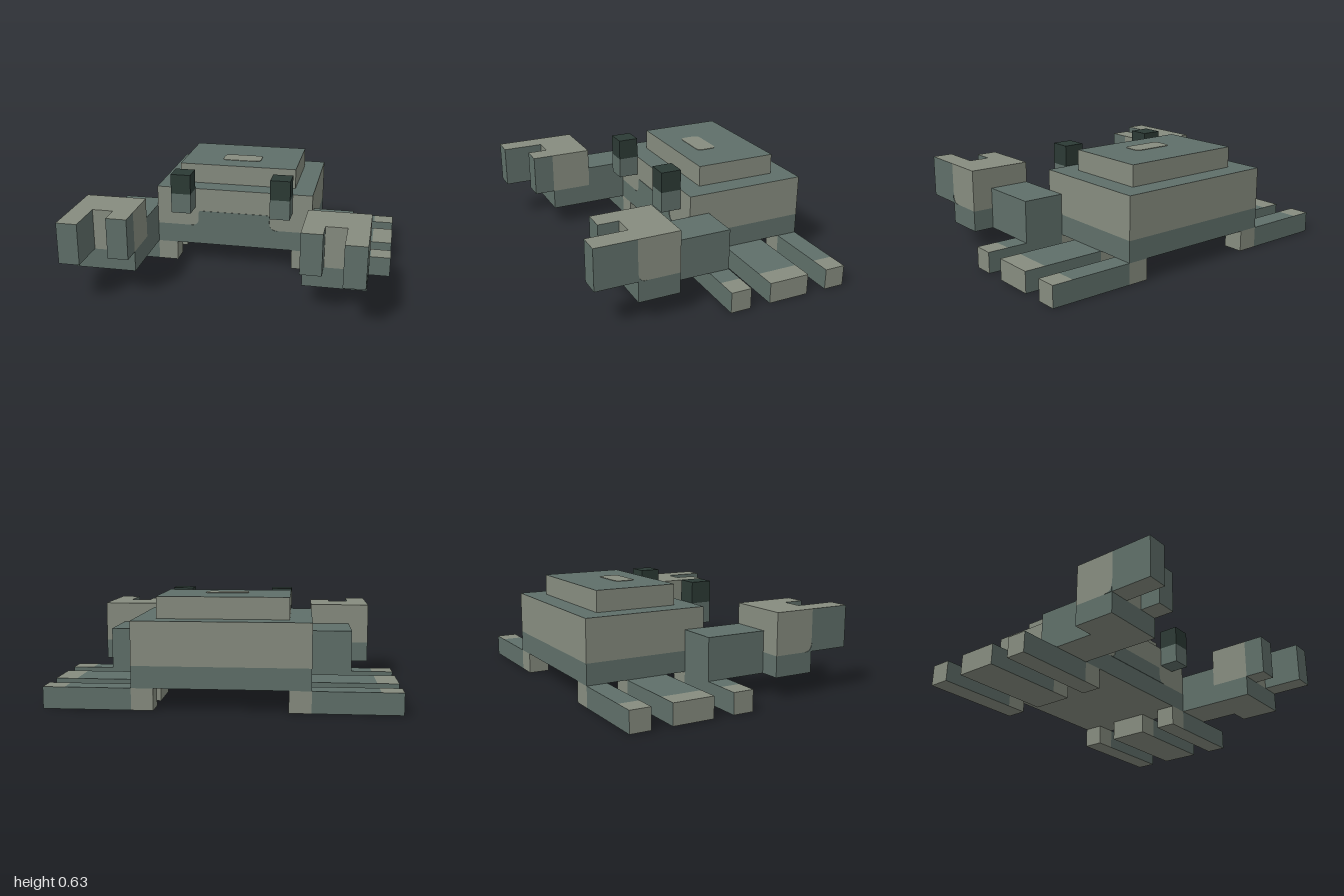
import * as THREE from 'three';

export function createModel() {
  const mat = (name, color) => {
    const m = new THREE.MeshStandardMaterial({ color });
    m.name = name;
    return m;
  };
  const teal = mat('teal shell', 0x5f6f69);
  const tan = mat('pale grey tan', 0x868c7f);
  const dark = mat('dark eye', 0x2c3a35);

  const model = new THREE.Group();
  model.name = 'crab';

  // Box from min/max corners; top, bottom, outer and inner can differ from the sides.
  // side = -1 mirrors the box to the other half of the body.
  function box(parent, name, [x0, x1], [y0, y1], [z0, z1], base, faces = {}, side = 1) {
    const { top = base, bottom = base, outer = base, inner = base } = faces;
    const g = new THREE.BoxGeometry(x1 - x0, y1 - y0, z1 - z0);
    const xs = side > 0 ? [outer, inner] : [inner, outer];
    const mesh = new THREE.Mesh(g, [...xs, top, bottom, base, base]);
    mesh.name = name;
    mesh.position.set(side * (x0 + x1) / 2, (y0 + y1) / 2, (z0 + z1) / 2);
    parent.add(mesh);
  }

  function plate(parent, name, shape, material) {
    const g = new THREE.ExtrudeGeometry(shape, { depth: 0.003, bevelEnabled: false, curveSegments: 5 });
    const mesh = new THREE.Mesh(g, material);
    mesh.name = name;
    parent.add(mesh);
    return mesh;
  }

  // Body and raised shell
  box(model, 'lowerBody', [-0.5, 0.5], [0.125, 0.25], [-0.75, 0], teal, { bottom: tan });
  box(model, 'upperBody', [-0.5, 0.5], [0.25, 0.5], [-0.75, 0], tan, { top: teal });
  box(model, 'raisedShell', [-0.375, 0.375], [0.5, 0.625], [-0.625, -0.125], tan, { top: teal });

  // Face patch with flared lower corners
  const face = new THREE.Shape();
  face.moveTo(-0.28, 0.25);
  face.lineTo(0.28, 0.25);
  face.quadraticCurveTo(0.23, 0.25, 0.23, 0.3);
  face.lineTo(0.23, 0.335);
  face.quadraticCurveTo(0.23, 0.35, 0.215, 0.35);
  face.lineTo(-0.215, 0.35);
  face.quadraticCurveTo(-0.23, 0.35, -0.23, 0.335);
  face.lineTo(-0.23, 0.3);
  face.quadraticCurveTo(-0.23, 0.25, -0.28, 0.25);
  plate(model, 'facePatch', face, teal);

  // Rounded spot on top of the shell
  const spot = new THREE.Shape();
  const w = 0.125, h = 0.0625, r = 0.03;
  spot.moveTo(-w + r, -h);
  spot.absarc(w - r, -h + r, r, -Math.PI / 2, 0);
  spot.absarc(w - r, h - r, r, 0, Math.PI / 2);
  spot.absarc(-w + r, h - r, r, Math.PI / 2, Math.PI);
  spot.absarc(-w + r, -h + r, r, Math.PI, Math.PI * 1.5);
  const spotMesh = plate(model, 'shellSpot', spot, tan);
  spotMesh.rotation.x = -Math.PI / 2;
  spotMesh.position.set(0, 0.625, -0.3125);

  // Small fillet in the lower front corner of each claw's side
  const fillet = new THREE.Shape();
  fillet.moveTo(-0.5, 0.25);
  fillet.lineTo(-0.45, 0.25);
  fillet.quadraticCurveTo(-0.5, 0.25, -0.5, 0.3);

  for (const s of [1, -1]) {
    const sideName = s > 0 ? 'left' : 'right';

    // Eye stalk
    const eye = new THREE.Group();
    eye.name = sideName + 'Eye';
    box(eye, 'eyeStalk', [0.25, 0.375], [0.375, 0.5], [0, 0.125], teal, {}, s);
    box(eye, 'eyeTip', [0.25, 0.375], [0.5, 0.625], [0, 0.125], dark, {}, s);
    model.add(eye);

    // Three walking legs
    for (const [z0, z1] of [[-0.75, -0.625], [-0.5, -0.25], [-0.125, 0]]) {
      const leg = new THREE.Group();
      leg.name = sideName + 'Leg';
      box(leg, 'legRoot', [0.375, 0.5], [0, 0.125], [z0, z1], tan, {}, s);
      box(leg, 'legShaft', [0.5, 0.875], [0, 0.125], [z0, z1], teal, { bottom: tan }, s);
      box(leg, 'legTip', [0.875, 1], [0, 0.125], [z0, z1], teal, { top: tan, bottom: tan, outer: tan }, s);
      model.add(leg);
    }

    // Arm and two-fingered claw
    const claw = new THREE.Group();
    claw.name = sideName + 'Claw';
    box(claw, 'arm', [0.5, 0.75], [0.125, 0.375], [-0.125, 0.25], teal, { bottom: tan }, s);
    box(claw, 'lowerPalm', [0.5, 0.875], [0.125, 0.25], [0.25, 0.5], teal, { bottom: tan }, s);
    box(claw, 'upperPalm', [0.5, 0.875], [0.25, 0.5], [0.25, 0.5], tan, {}, s);
    box(claw, 'outerFinger', [0.75, 0.875], [0.25, 0.5], [0.5, 0.75], teal, { top: tan, bottom: tan }, s);
    box(claw, 'innerFinger', [0.5, 0.625], [0.25, 0.5], [0.5, 0.625], teal, { top: tan, bottom: tan }, s);
    const corner = plate(claw, 'palmCorner', fillet, teal);
    corner.rotation.y = Math.PI / 2;
    corner.position.x = s > 0 ? 0.875 : -0.878;
    model.add(claw);
  }
  return model;
}
